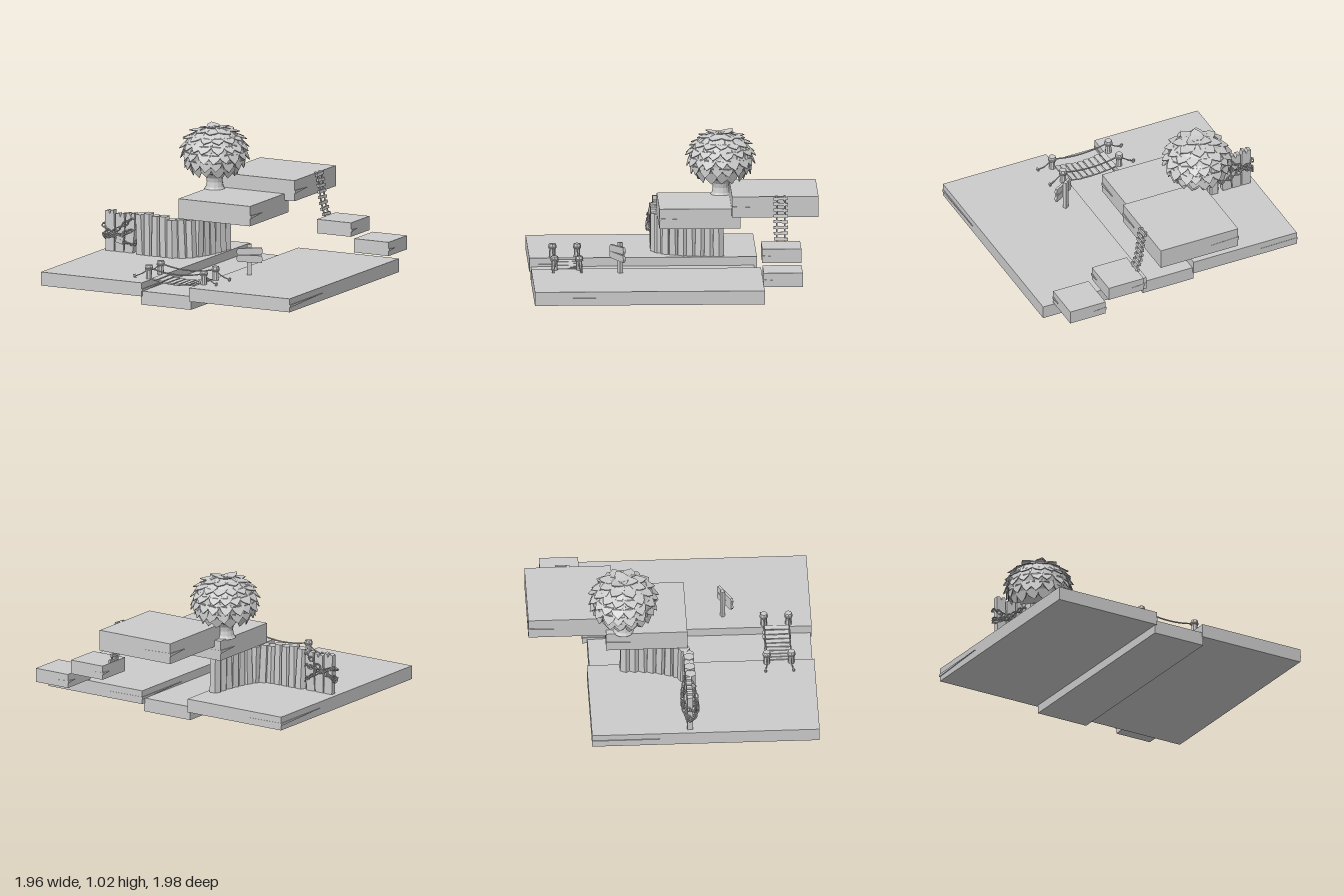
import * as THREE from 'three';

const grey = new THREE.MeshStandardMaterial({ color: 0xcccccc, flatShading: true });
const thin = new THREE.MeshStandardMaterial({ color: 0xcccccc, flatShading: true, side: THREE.DoubleSide });
const smooth = new THREE.MeshStandardMaterial({ color: 0xcccccc });
const V = (x, y, z) => new THREE.Vector3(x, y, z);

let seed = 7;
const rnd = (a, b) => {
  seed = (seed * 16807) % 2147483647;
  return a + (b - a) * seed / 2147483647;
};

function add(parent, name, geo, pos = [0, 0, 0], rot = [0, 0, 0], mat = grey) {
  const m = new THREE.Mesh(geo, mat);
  m.name = name;
  m.position.set(...pos);
  m.rotation.set(...rot);
  parent.add(m);
  return m;
}

function group(parent, name) {
  const g = new THREE.Group();
  g.name = name;
  parent.add(g);
  return g;
}

const box = (x0, x1, y0, y1, z0, z1) =>
  new THREE.BoxGeometry(x1 - x0, y1 - y0, z1 - z0).translate((x0 + x1) / 2, (y0 + y1) / 2, (z0 + z1) / 2);

// Straight rod between two points
function rod(parent, name, a, b, r, sides = 6) {
  const d = b.clone().sub(a);
  const m = add(parent, name, new THREE.CylinderGeometry(r, r, d.length(), sides), a.clone().add(b).multiplyScalar(0.5).toArray());
  m.quaternion.setFromUnitVectors(V(0, 1, 0), d.normalize());
}

const rope = (parent, name, pts, r) =>
  add(parent, name, new THREE.TubeGeometry(new THREE.CatmullRomCurve3(pts), 20, r, 6), undefined, undefined, smooth);

// Tapered crack sliver lying along a slab side
const crackShape = new THREE.Shape([[0, -0.012], [1, 0], [0, 0.012]].map(p => new THREE.Vector2(...p)));
const crackGeo = new THREE.ExtrudeGeometry(crackShape, { depth: 0.006, bevelEnabled: false });

function slab(parent, name, x0, x1, y0, y1, z0, z1) {
  const g = group(parent, name);
  add(g, name + 'Block', box(x0, x1, y0, y1, z0, z1));
  const y = y0 + (y1 - y0) * 0.45, w = x1 - x0, d = z1 - z0;
  const cracks = [
    [x1, z1, Math.PI, w * 0.4, -0.004], [x0, z0, 0, w * 0.35, -0.002],
    [x1, z1, Math.PI / 2, d * 0.3, -0.002], [x0, z0, -Math.PI / 2, d * 0.3, -0.002],
  ];
  for (const [x, z, turn, len, off] of cracks) {
    const c = add(g, 'crack', crackGeo, [x, y, z + off], [0, turn, 0.02], thin);
    c.scale.set(len, Math.min(1, (y1 - y0) * 8), 1);
  }
}

// Chain of alternating links along a curve
function chain(parent, name, curve, n) {
  const g = group(parent, name);
  const geo = new THREE.TorusGeometry(0.014, 0.0045, 6, 10).scale(1.5, 1, 1);
  for (let i = 0; i < n; i++) {
    const u = (i + 0.5) / n;
    const link = add(g, 'chainLink', geo, curve.getPointAt(u).toArray(), undefined, smooth);
    link.quaternion.setFromUnitVectors(V(1, 0, 0), curve.getTangentAt(u));
    link.rotateX(i % 2 ? 0.8 : -0.8);
  }
}

function buildTree(root) {
  const g = group(root, 'tree');
  g.position.set(-0.335, 0, -0.335);
  const profile = [[0.075, 0.565], [0.062, 0.585], [0.055, 0.62], [0.06, 0.65], [0.09, 0.69]];
  add(g, 'trunk', new THREE.LatheGeometry(profile.map(p => new THREE.Vector2(...p)), 14), undefined, undefined, thin);
  add(g, 'crownCore', new THREE.SphereGeometry(1, 18, 12).scale(0.205, 0.165, 0.205), [0, 0.83, 0]);
  // Pointed, slightly cupped leaf with its tip down
  const shape = new THREE.Shape([[-0.03, 0.05], [0.03, 0.05], [0.052, 0], [0.035, -0.045], [0, -0.08],
    [-0.035, -0.045], [-0.052, 0]].map(p => new THREE.Vector2(...p)));
  const leaf = new THREE.ExtrudeGeometry(shape, { depth: 0.006, bevelEnabled: false });
  const p = leaf.attributes.position;
  for (let i = 0; i < p.count; i++) p.setZ(i, p.getZ(i) - p.getX(i) ** 2 * 4);
  const counts = [3, 8, 13, 16, 17, 16, 13];
  counts.forEach((n, row) => {
    const polar = 0.14 + row * 0.325;
    for (let i = 0; i < n; i++) {
      const a = (i + (row % 2) * 0.5 + rnd(-0.15, 0.15)) / n * Math.PI * 2;
      const s = Math.sin(polar), c = Math.cos(polar);
      const normal = V(s * Math.cos(a) / 0.225, c / 0.18, s * Math.sin(a) / 0.225).normalize();
      const side = V(0, 1, 0).cross(normal).normalize();
      const up = normal.clone().cross(side);
      const m = add(g, 'leaf', leaf, [0.214 * s * Math.cos(a), 0.83 + 0.178 * c, 0.214 * s * Math.sin(a)]);
      m.quaternion.setFromRotationMatrix(new THREE.Matrix4().makeBasis(side, up, normal));
      m.rotateX(-0.16);
      m.rotateZ(rnd(-0.2, 0.2));
      m.scale.setScalar(rnd(0.88, 1.05));
    }
  });
}

function buildFence(root) {
  const g = group(root, 'fence');
  const path = new THREE.CatmullRomCurve3([V(-0.67, 0, 0.108), V(-0.53, 0, 0.108), V(-0.4, 0, 0.1),
    V(-0.31, 0, 0.02), V(-0.26, 0, -0.14), V(-0.24, 0, -0.315)]);
  const n = 13;
  for (let i = 0; i < n; i++) {
    const q = path.getPointAt(i / (n - 1));
    const h = i < 4 ? rnd(0.27, 0.3) : rnd(0.25, 0.272);
    add(g, 'fencePost', new THREE.CylinderGeometry(0.04, 0.044, h, 6), [q.x, 0.155 + h / 2, q.z],
      [rnd(-0.02, 0.02), Math.PI / 6 + path.getTangentAt(i / (n - 1)).z, rnd(-0.04, 0.04)]);
  }
}

function buildGate(root) {
  const g = group(root, 'gate');
  // Split-topped planks
  for (const [x, h, tilt] of [[-0.91, 0.29, 0.02], [-0.838, 0.275, -0.02], [-0.765, 0.285, -0.05]]) {
    const s = new THREE.Shape([[-0.034, 0], [0.032, 0], [0.037, h * 0.6], [0.034, h], [0.012, h - 0.006],
      [0.004, h - 0.03], [-0.008, h - 0.004], [-0.034, h - 0.01]].map(p => new THREE.Vector2(...p)));
    add(g, 'gatePlank', new THREE.ExtrudeGeometry(s, { depth: 0.04, bevelEnabled: false }), [x, 0.155, 0.078], [0, 0, tilt]);
  }
  // Crossed chains wrapped round the planks
  for (const [y, rise] of [[0.335, 0.085], [0.28, -0.06], [0.3, 0.03]]) {
    const pts = [];
    for (let i = 0; i < 16; i++) {
      const a = i / 16 * Math.PI * 2;
      pts.push(V(-0.842 + 0.122 * Math.cos(a), y + rise * Math.cos(a) - 0.02 * Math.sin(a), 0.098 + 0.05 * Math.sin(a)));
    }
    chain(g, 'chain', new THREE.CatmullRomCurve3(pts, true), 18);
  }
  add(g, 'padlock', new THREE.BoxGeometry(0.055, 0.05, 0.022), [-0.81, 0.25, 0.155], [0, 0, -0.25]);
  add(g, 'shackle', new THREE.TorusGeometry(0.018, 0.005, 6, 12, Math.PI), [-0.804, 0.275, 0.155], [0, 0, -0.25], smooth);
  add(g, 'keyhole', new THREE.CylinderGeometry(0.007, 0.007, 0.004, 8), [-0.81, 0.25, 0.167], [Math.PI / 2, 0, 0]);
}

function buildBridge(root) {
  const g = group(root, 'ropeBridge');
  const sag = x => 0.13 + 0.025 * (x / 0.2) ** 2;
  for (let i = 0; i < 9; i++) {
    const x = -0.175 + i * 0.0435;
    add(g, 'bridgePlank', new THREE.BoxGeometry(0.035, 0.008, rnd(0.175, 0.2)), [x, sag(x) + 0.005, 0.745],
      [0, rnd(-0.04, 0.04), x * 1.2]);
  }
  for (const z of [0.66, 0.83]) {
    for (const y of [0, 0.072]) {
      const xs = [-0.215, -0.14, -0.07, 0, 0.07, 0.14, 0.21];
      rope(g, y ? 'handRope' : 'deckRope', xs.map(x => V(x, sag(x) + y, z)), 0.005);
    }
    for (const side of [-1, 1]) {
      const x = side * 0.215 - 0.004;
      add(g, 'bridgePost', new THREE.CylinderGeometry(0.02, 0.023, 0.085, 8), [x, 0.195, z]);
      add(g, 'bridgePostCap', new THREE.CylinderGeometry(0.024, 0.028, 0.016, 8), [x, 0.243, z]);
      for (const y of [0.222, 0.231])
        add(g, 'ropeRing', new THREE.TorusGeometry(0.024, 0.005, 6, 12), [x, y, z], [Math.PI / 2, 0, 0], smooth);
      const end = V(x + side * 0.1, 0.165, z + (z > 0.7 ? 0.012 : -0.012));
      rope(g, 'stayRope', [V(x, 0.226, z), V(x + side * 0.05, 0.188, z), end], 0.004);
      rod(g, 'stake', V(end.x, 0.15, end.z), V(end.x + side * 0.008, 0.178, end.z), 0.008);
    }
  }
}

function buildSign(root) {
  const g = group(root, 'signpost');
  g.position.set(0.335, 0, 0.395);
  g.rotation.y = 0.53;
  add(g, 'signPole', new THREE.BoxGeometry(0.03, 0.215, 0.024), [-0.002, 0.262, -0.018]);
  // Two chipped boards
  for (const [y, tilt, flip] of [[0.322, 0.03, 1], [0.271, -0.05, -1]]) {
    const s = new THREE.Shape([[-0.088, -0.022], [0.082, -0.025], [0.09, 0], [0.084, 0.024], [-0.08, 0.025],
      [-0.092, 0.008]].map(([px, py]) => new THREE.Vector2(px, py * flip)));
    add(g, 'signBoard', new THREE.ExtrudeGeometry(s, { depth: 0.018, bevelEnabled: false }), [0, y, -0.004], [0, 0, tilt]);
  }
}

function buildLadder(root) {
  const g = group(root, 'ropeLadder');
  const path = new THREE.CatmullRomCurve3([V(0.255, 0.675, 0), V(0.275, 0.66, 0), V(0.29, 0.56, 0), V(0.305, 0.46, 0), V(0.335, 0.365, 0)]);
  for (const z of [-0.755, -0.7])
    rope(g, 'ladderRope', path.points.map(p => V(p.x, p.y, z)), 0.006);
  for (let i = 0; i < 8; i++) {
    const q = path.getPointAt(0.08 + i * 0.122);
    add(g, 'rung', new THREE.BoxGeometry(0.016, 0.02, 0.098), [q.x, q.y, -0.728], [rnd(-0.07, 0.07), 0, 0.15]);
  }
}

export function createModel() {
  const root = new THREE.Group();
  root.name = 'islandDiorama';
  // Ground and raised platforms
  slab(root, 'rightGround', -0.98, -0.19, 0.06, 0.155, -0.58, 0.99);
  slab(root, 'leftGround', 0.18, 0.97, 0.06, 0.155, -0.595, 0.99);
  add(root, 'riverBed', box(-0.2, 0.19, 0, 0.095, -0.56, 0.98));
  slab(root, 'middlePlatform', -0.38, 0.18, 0.43, 0.57, -0.455, 0.105);
  slab(root, 'upperPlatform', -0.333, 0.26, 0.525, 0.67, -0.99, -0.393);
  slab(root, 'upperStep', 0.328, 0.595, 0.272, 0.37, -0.86, -0.59);
  slab(root, 'lowerStep', 0.62, 0.89, 0.165, 0.262, -0.86, -0.59);
  buildTree(root);
  buildFence(root);
  buildGate(root);
  buildBridge(root);
  buildSign(root);
  buildLadder(root);
  return root;
}
